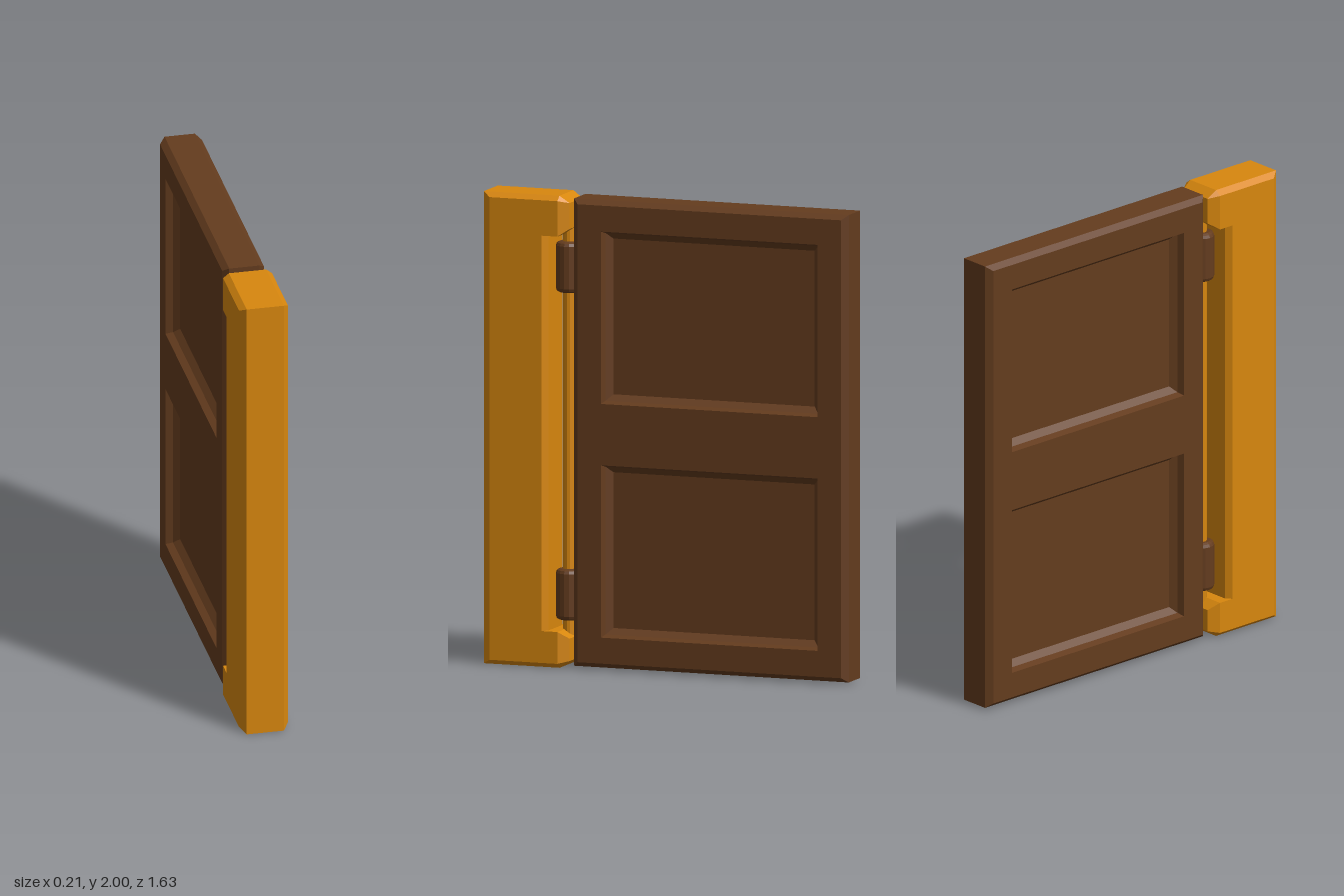
import * as THREE from 'three';
import { ConvexGeometry } from 'three/addons/geometries/ConvexGeometry.js';

const gold = new THREE.MeshStandardMaterial({ color: 0xd8870e, flatShading: true });
const brown = new THREE.MeshStandardMaterial({ color: 0x643c1e, flatShading: true });

function add(parent, name, geometry, material) {
  const mesh = new THREE.Mesh(geometry, material);
  mesh.name = name;
  parent.add(mesh);
  return mesh;
}

// Convex solid mirrored across x = 0 from its points on one side
function mirroredHull(points) {
  return new ConvexGeometry(points.flatMap(([x, y, z]) =>
    [new THREE.Vector3(x, y, z), new THREE.Vector3(-x, y, z)]));
}

// Bands joining rectangles [x0, y0, x1, y1, z], optionally closed by the last one
function rectLoft(rects, cap) {
  const rings = rects.map(([x0, y0, x1, y1, z]) =>
    [[x0, y0, z], [x1, y0, z], [x1, y1, z], [x0, y1, z]]);
  const pos = [];
  const quad = (a, b, c, d) => pos.push(...a, ...b, ...c, ...a, ...c, ...d);
  for (let r = 0; r + 1 < rings.length; r++) {
    for (let i = 0; i < 4; i++) {
      const j = (i + 1) % 4;
      quad(rings[r][i], rings[r][j], rings[r + 1][j], rings[r + 1][i]);
    }
  }
  if (cap) quad(...rings[rings.length - 1]);
  const g = new THREE.BufferGeometry();
  g.setAttribute('position', new THREE.Float32BufferAttribute(pos, 3));
  g.computeVertexNormals();
  return g;
}

const rectPoints = (x0, y0, x1, y1) =>
  [[x0, y0], [x1, y0], [x1, y1], [x0, y1]].map(([x, y]) => new THREE.Vector2(x, y));

function createPost() {
  const post = new THREE.Group();
  post.name = 'post';

  // Upright with chamfered sides
  const body = [];
  for (const y of [0, 2]) body.push([0.08, y, 0.82], [0.08, y, 0.53]);
  for (const y of [0.02, 1.98]) body.push([0.105, y, 0.785], [0.105, y, 0.55]);
  add(post, 'upright', mirroredHull(body), gold);

  // Arms at top and bottom, tapering toward the panel
  const arm = (name, outer, inner) => {
    const s = Math.sign(outer - inner);
    const pts = [];
    for (const z of [0.56, 0.48]) {
      pts.push([0.08, outer, z], [0.105, outer - s * 0.02, z], [0.105, inner, z]);
    }
    pts.push([0.075, outer - s * 0.03, 0.437], [0.075, inner + s * 0.03, 0.437]);
    add(post, name, mirroredHull(pts), gold);
  };
  arm('topArm', 2, 1.83);
  arm('bottomArm', 0, 0.155);

  // Rod the hinges turn on
  add(post, 'hingeRod', new THREE.CylinderGeometry(0.025, 0.025, 1.8, 12), gold)
    .position.set(0, 1, 0.468);
  return post;
}

// One half of the door leaf, facing local +z
function createLeafSide(name) {
  const side = new THREE.Group();
  side.name = name;
  const w = 0.6175, bottom = 0.01, top = 1.99, edge = 0.065, depth = 0.09;
  const face = [-w + 0.025, bottom + 0.02, w - 0.025, top - 0.02];
  add(side, 'chamferedEdge', rectLoft([
    [-w, bottom, w, top, 0], [-w, bottom, w, top, edge], [...face, depth],
  ], false), brown);

  // Flat frame with two panel openings
  const shape = new THREE.Shape(rectPoints(...face));
  const panels = [[-0.4875, 0.14, 0.4875, 0.87], [-0.4875, 1.13, 0.4875, 1.86]];
  for (const p of panels) shape.holes.push(new THREE.Path(rectPoints(...p)));
  add(side, 'frameFace', new THREE.ShapeGeometry(shape), brown).position.z = depth;

  // Recessed panels with a two-step moulding
  panels.forEach(([x0, y0, x1, y1], i) => {
    const steps = [[0, 0], [0.01, 0.03], [0.035, 0.055]];
    add(side, i ? 'upperPanel' : 'lowerPanel', rectLoft(steps.map(([inset, d]) =>
      [x0 + inset, y0 + inset, x1 - inset, y1 - inset, depth - d]), true), brown);
  });
  return side;
}

function createDoor() {
  const door = new THREE.Group();
  door.name = 'door';
  for (const s of [1, -1]) {
    const side = createLeafSide(s > 0 ? 'leftSide' : 'rightSide');
    side.rotation.y = s * Math.PI / 2;
    side.position.z = -0.1975;
    door.add(side);
  }

  // Hinge knuckles with rounded rims
  const profile = [[0, -0.108], [0.038, -0.108], [0.05, -0.102], [0.055, -0.09],
    [0.055, 0.09], [0.05, 0.102], [0.038, 0.108], [0, 0.108]]
    .map(([r, y]) => new THREE.Vector2(r, y));
  for (const [name, y] of [['lowerHinge', 0.303], ['upperHinge', 1.69]]) {
    add(door, name, new THREE.LatheGeometry(profile, 16), brown).position.set(0, y, 0.469);
  }
  return door;
}

export function createModel() {
  const model = new THREE.Group();
  model.name = 'hingedDoor';
  model.add(createPost(), createDoor());
  return model;
}
